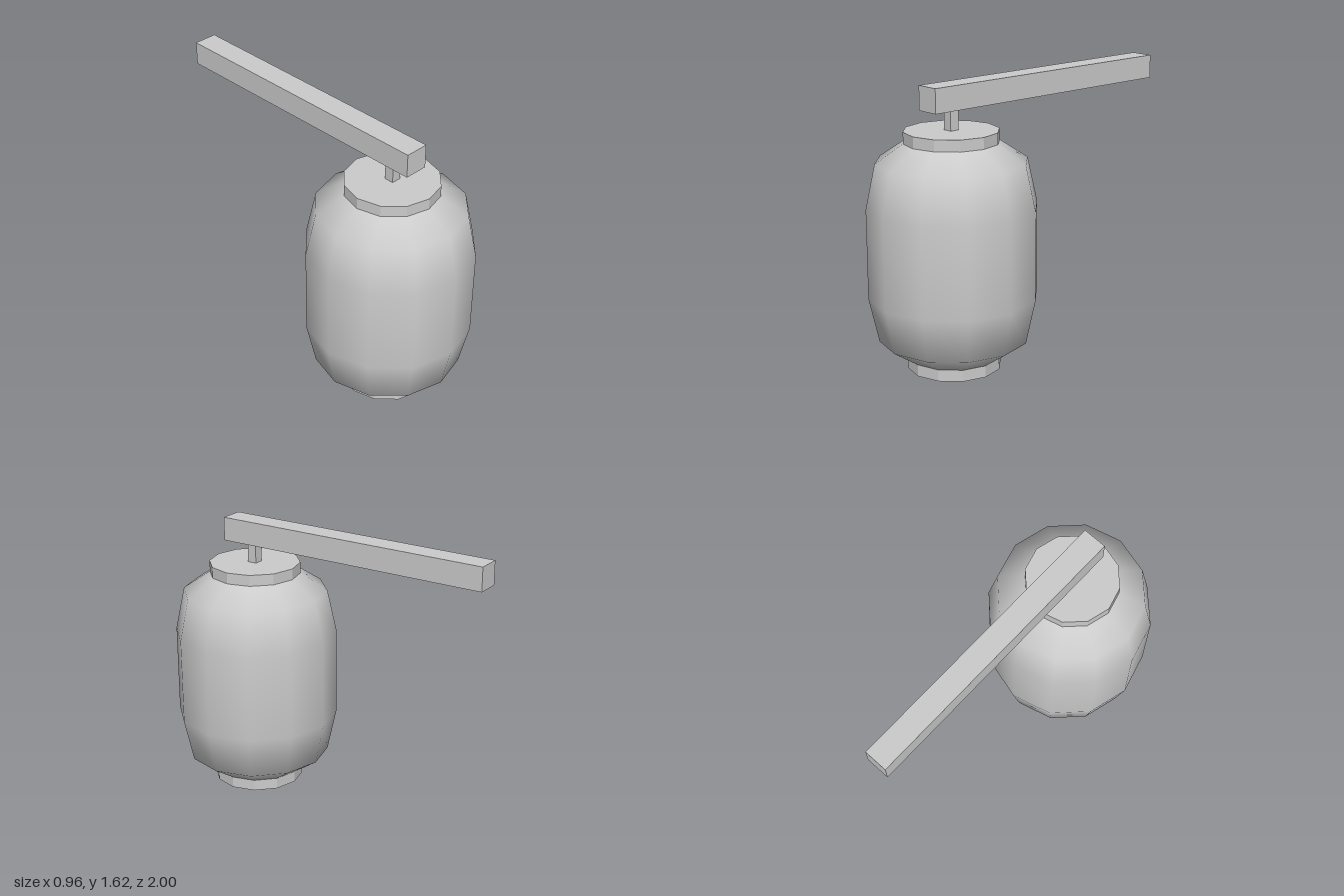
import * as THREE from 'three';

export function createModel() {
  const group = new THREE.Group();
  const smooth = new THREE.MeshStandardMaterial({ color: 0xcccccc });
  const flat = new THREE.MeshStandardMaterial({ color: 0xcccccc, flatShading: true });
  const sides = 12, lanternZ = 0.52, capRadius = 0.267;

  const add = (name, geometry, material, y, z) => {
    const mesh = new THREE.Mesh(geometry, material);
    mesh.name = name;
    mesh.position.set(0, y, z);
    group.add(mesh);
  };

  // Paper shade: a smooth-shaded, twelve-sided barrel, mirrored about its middle
  const half = [[capRadius, 0.616], [0.425, 0.51], [0.48, 0.256]];
  const profile = [
    ...half.map(([r, y]) => new THREE.Vector2(r, -y)),
    ...half.toReversed().map(([r, y]) => new THREE.Vector2(r, y)),
  ];
  add('shade', new THREE.LatheGeometry(profile, sides), smooth, 0.683, lanternZ);

  // Faceted end caps
  const cap = new THREE.CylinderGeometry(capRadius, capRadius, 0.067, sides);
  add('bottomCap', cap, flat, 0.0335, lanternZ);
  add('topCap', cap, flat, 1.3305, lanternZ);

  // Square hanger joining the top cap to the beam
  add('hanger', new THREE.BoxGeometry(0.056, 0.12, 0.056), flat, 1.422, lanternZ);

  // Support beam reaching back from above the lantern
  add('beam', new THREE.BoxGeometry(0.14, 0.138, 1.685), flat, 1.551, -0.1575);

  return group;
}
